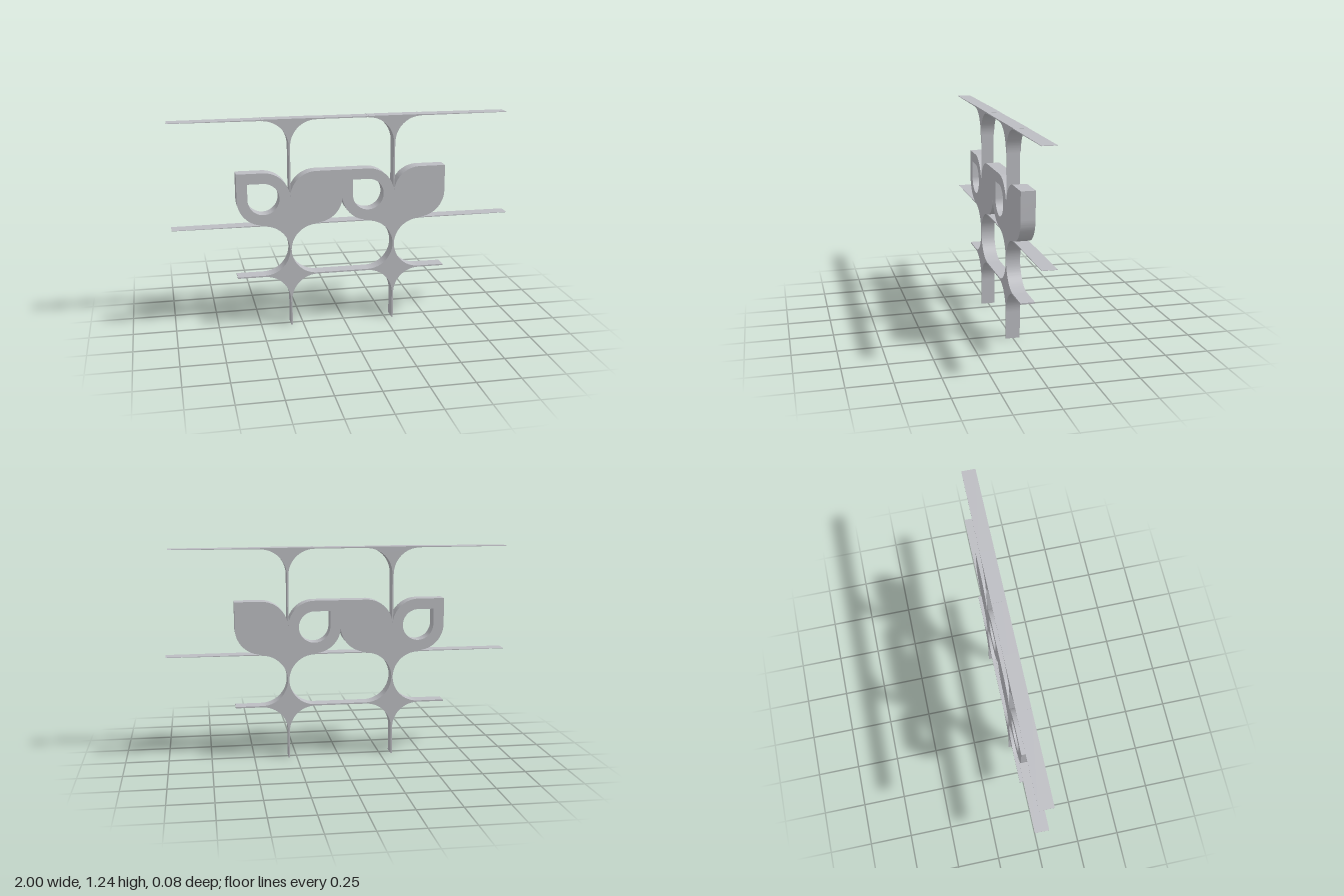
import * as THREE from 'three';
import { toCreasedNormals } from 'three/addons/utils/BufferGeometryUtils.js';

const DEPTH = 0.082;
const H = 0.004;          // half thickness of the thin strips
const R = 0.156;          // reach of a flared joint
const LEAF = 0.154;       // leaf corner radius
const COLUMNS = [-0.32, 0.295];
const Y_LOW = 0.317, Y_MID = 0.625, Y_TOP = 1.239, Y_LEAF = 0.782;

// Concave joint made of quarter arcs; quadrants are numbered anticlockwise from +x +y
function jointShape(quadrants) {
  const s = new THREE.Shape();
  const signs = [[1, 1], [-1, 1], [-1, -1], [1, -1]];
  quadrants.forEach((q, i) => {
    const a = -Math.PI / 2 + q * Math.PI / 2;
    const [sx, sy] = signs[q];
    if (i === 0) s.moveTo(sx * R + (R - H) * Math.cos(a), sy * R + (R - H) * Math.sin(a));
    s.absarc(sx * R, sy * R, R - H, a, a - Math.PI / 2, true);
  });
  if (quadrants.length === 2) {
    s.lineTo(R, H);
    s.lineTo(-R, H);
  }
  s.closePath();
  return s;
}

// Leaf with one square outer corner; side is -1 for left, 1 for right
function leafShape(side) {
  const s = new THREE.Shape(), r = LEAF, cw = side < 0;
  const bottom = -Math.PI / 2, top = Math.PI / 2;
  s.moveTo(0, -r);
  s.lineTo(side * r, -r);
  s.absarc(side * r, 0, r, bottom, cw ? -Math.PI : 0, cw);
  s.lineTo(side * 2 * r, r);
  s.lineTo(side * r, r);
  s.absarc(side * r, 0, r, top, cw ? 0 : Math.PI, cw);
  s.closePath();
  return s;
}

// Teardrop opening with a square upper-left corner
function teardropHole() {
  const p = new THREE.Path(), r = 0.092;
  p.moveTo(-LEAF - r, r);
  p.lineTo(-LEAF - r, 0);
  p.absarc(-LEAF, 0, r, -Math.PI, Math.PI / 2, false);
  p.closePath();
  return p;
}

// Long strip that thins towards both ends
function taperedStrip(x0, x1, half) {
  const tip = 0.001, a = COLUMNS[0] - R, b = COLUMNS[1] + R;
  return new THREE.Shape([
    [x0, -tip], [a, -half], [b, -half], [x1, -tip],
    [x1, tip], [b, half], [a, half], [x0, tip],
  ].map(([x, y]) => new THREE.Vector2(x, y)));
}

export function createModel() {
  const root = new THREE.Group();
  root.name = 'ornamentalGrille';
  const metal = new THREE.MeshStandardMaterial({ color: 0xbcbdc2 });
  metal.name = 'pale grey';

  function plate(name, shape, x, y) {
    const g = new THREE.ExtrudeGeometry(shape, { depth: DEPTH, bevelEnabled: false, curveSegments: 24 });
    g.translate(0, 0, -DEPTH / 2);
    const m = new THREE.Mesh(toCreasedNormals(g, 0.5), metal);
    m.name = name;
    m.position.set(x, y, 0);
    root.add(m);
  }

  function strip(name, x, y, w, h, d) {
    const m = new THREE.Mesh(new THREE.BoxGeometry(w, h, d), metal);
    m.name = name;
    m.position.set(x, y, 0);
    root.add(m);
  }

  // Horizontal rails
  plate('topRail', taperedStrip(-1, 0.97, 0.003), 0, Y_TOP);
  plate('middleRail', taperedStrip(-1, 1, 0.003), 0, Y_MID);
  strip('lowerRail', -0.014, Y_LOW, 1.24, 2 * H, DEPTH);

  // Repeated column: foot, star joint, flares, leaf pair and upper stem
  const ringLeaf = leafShape(-1);
  ringLeaf.holes.push(teardropHole());
  for (const x of COLUMNS) {
    const footTop = Y_LOW - R, stemTop = Y_TOP - R;
    strip('foot', x, footTop / 2, 2 * H, footTop, DEPTH);
    plate('starJoint', jointShape([0, 1, 2, 3]), x, Y_LOW);
    plate('middleFlare', jointShape([2, 3]), x, Y_MID);
    plate('openLeaf', ringLeaf, x, Y_LEAF);
    plate('solidLeaf', leafShape(1), x, Y_LEAF);
    strip('upperStem', x, (Y_LEAF + stemTop) / 2, 2 * H, stemTop - Y_LEAF, 0.076);
    plate('topFlare', jointShape([2, 3]), x, Y_TOP);
  }
  return root;
}
